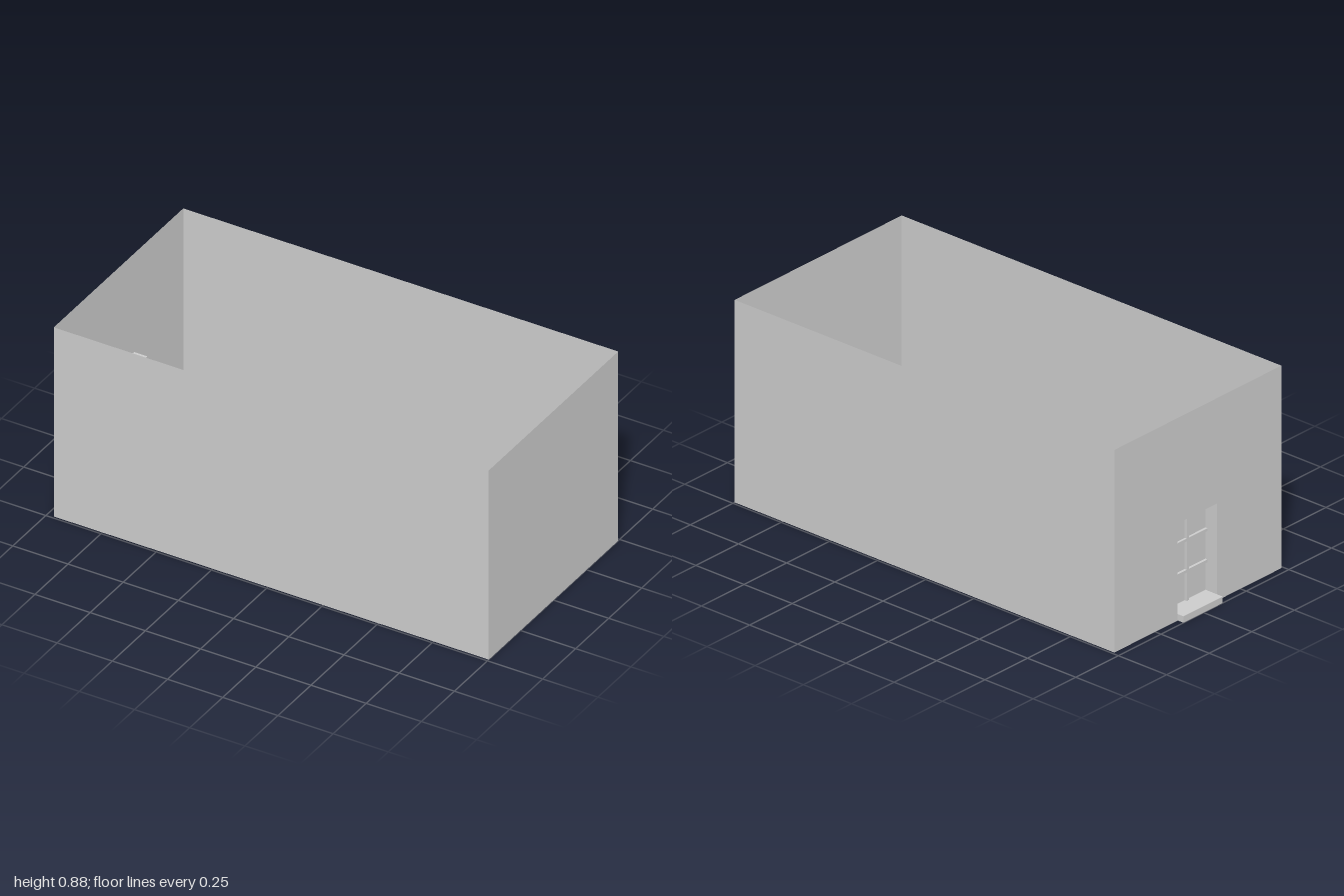
import * as THREE from 'three';

const material = new THREE.MeshStandardMaterial({ color: 0xcccccc, side: THREE.DoubleSide });

// Room limits
const X0 = -0.97, X1 = 1, Z = 0.49, H = 0.88;
// Window: opening, recessed glass plane, front of the glazing bars
const W = { z0: -0.118, z1: 0.112, y0: 0.028, y1: 0.422, glass: -0.91, bar: -0.921 };
const BAR = 0.012;

export function createModel() {
  const group = new THREE.Group();
  const add = (name, geometry, parent = group) => {
    const mesh = new THREE.Mesh(geometry, material);
    mesh.name = name;
    parent.add(mesh);
    return mesh;
  };

  // Thin rectangles, named by the axis they are perpendicular to
  const acrossX = (x, y0, y1, z0, z1) =>
    new THREE.PlaneGeometry(z1 - z0, y1 - y0).rotateY(-Math.PI / 2).translate(x, (y0 + y1) / 2, (z0 + z1) / 2);
  const acrossY = (y, x0, x1, z0, z1) =>
    new THREE.PlaneGeometry(x1 - x0, z1 - z0).rotateX(-Math.PI / 2).translate((x0 + x1) / 2, y, (z0 + z1) / 2);
  const acrossZ = (z, x0, x1, y0, y1) =>
    new THREE.PlaneGeometry(x1 - x0, y1 - y0).translate((x0 + x1) / 2, (y0 + y1) / 2, z);

  // Plain walls, open above and below
  add('frontWall', acrossZ(Z, X0, X1, 0, H));
  add('backWall', acrossZ(-Z, X0, X1, 0, H).rotateY(Math.PI).translate(X0 + X1, 0, -2 * Z));
  add('leftWall', acrossX(X1, 0, H, -Z, Z));

  // Wall with the window opening, drawn in (z, y)
  const outline = new THREE.Shape([
    [-Z, 0], [W.z0, 0], [W.z0, W.y1], [W.z1, W.y1], [W.z1, 0], [Z, 0], [Z, H], [-Z, H],
  ].map(([z, y]) => new THREE.Vector2(z, y)));
  add('windowWall', new THREE.ShapeGeometry(outline).rotateY(-Math.PI / 2).translate(X0, 0, 0));

  const win = new THREE.Group();
  win.name = 'window';
  group.add(win);

  // Ledge standing out from the wall
  const ledge = new THREE.BoxGeometry(X0 + 1, W.y0, W.z1 - W.z0);
  add('ledge', ledge.translate((X0 - 1) / 2, W.y0 / 2, (W.z0 + W.z1) / 2), win);

  // Recess: sill and head are notched where the hollow mullion meets them
  const mid = (W.z0 + W.z1) / 2, m0 = mid - BAR / 2, m1 = mid + BAR / 2;
  for (const [name, y] of [['sill', W.y0], ['head', W.y1]]) {
    add(name, acrossY(y, X0, W.bar, W.z0, W.z1), win);
    add(name, acrossY(y, W.bar, W.glass, W.z0, m0), win);
    add(name, acrossY(y, W.bar, W.glass, m1, W.z1), win);
  }
  for (const z of [W.z0, W.z1]) add('jamb', acrossZ(z, X0, W.glass, W.y0, W.y1), win);

  // Mullion: channel open towards the room
  add('mullion', acrossX(W.bar, W.y0, W.y1, m0, m1), win);

  // Two columns of three panes, parted by hollow crossbars
  const rows = 3, paneH = (W.y1 - W.y0 - BAR * (rows - 1)) / rows;
  for (const [z0, z1, side] of [[W.z0, m0, m0], [m1, W.z1, m1]]) {
    for (let r = 0; r < rows; r++) {
      const y0 = W.y0 + r * (paneH + BAR), y1 = y0 + paneH;
      add('pane', acrossX(W.glass, y0, y1, z0, z1), win);
      add('mullionSide', acrossZ(side, W.bar, W.glass, y0, y1), win);
      if (r === rows - 1) continue;
      add('crossbar', acrossX(W.bar, y1, y1 + BAR, z0, z1), win);
      for (const y of [y1, y1 + BAR]) add('crossbarSide', acrossY(y, W.bar, W.glass, z0, z1), win);
    }
  }
  return group;
}
